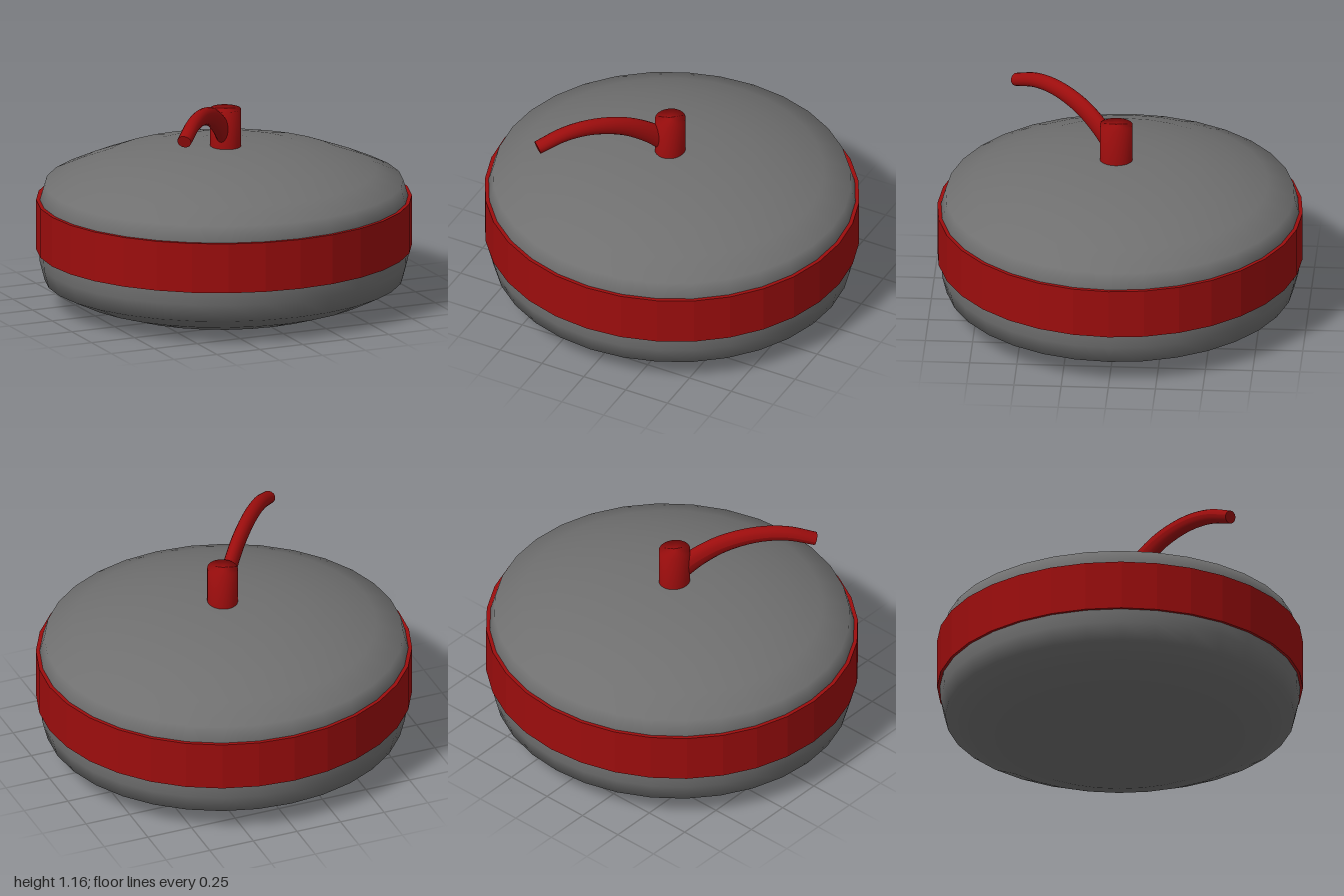
import * as THREE from 'three';

const DEPTH = 0.968; // the stone is slightly shallower than wide

export function createModel() {
  const group = new THREE.Group();
  const grey = new THREE.MeshStandardMaterial({ color: 0x707070 });
  const red = new THREE.MeshStandardMaterial({ color: 0x9c0d0d });
  const redFlat = new THREE.MeshStandardMaterial({ color: 0x9c0d0d, flatShading: true });

  const add = (name, geometry, material, parent = group) => {
    const mesh = new THREE.Mesh(geometry, material);
    mesh.name = name;
    parent.add(mesh);
    return mesh;
  };
  // Profiles run from bottom to top as [radius, height]
  const lathe = (points, sides) =>
    new THREE.LatheGeometry(points.map(([r, y]) => new THREE.Vector2(r, y)), sides);

  // Rounded stone body
  add('stoneBody', lathe([
    [0, 0], [0.42, 0], [0.64, 0.005], [0.81, 0.06], [0.955, 0.13], [0.98, 0.225],
    [0.985, 0.3], [0.98, 0.565], [0.955, 0.65], [0.81, 0.715], [0.64, 0.78],
    [0.44, 0.823], [0.22, 0.853], [0, 0.855],
  ], 32), grey).scale.z = DEPTH;

  // Faceted band around the middle
  add('middleBand', lathe([
    [0.95, 0.297], [1, 0.297], [1, 0.566], [0.95, 0.566], [0.95, 0.297],
  ], 32), redFlat).scale.z = DEPTH;

  // Upright post
  const post = add('handlePost', lathe([[0.08, 0.82], [0.08, 1.058], [0, 1.058]], 32), red);
  post.scale.z = 1.09;
  post.position.z = 0.02;

  // Curved grip, laid out along local x and turned towards the front right
  const grip = new THREE.Group();
  grip.name = 'handleGrip';
  grip.position.z = 0.02;
  grip.rotation.y = Math.atan2(-0.748, -0.664);
  group.add(grip);

  const curve = new THREE.CatmullRomCurve3([
    [0.03, 0.925], [0.12, 0.998], [0.26, 1.075], [0.44, 1.117], [0.6, 1.11], [0.75, 1.062],
  ].map(([x, y]) => new THREE.Vector3(x, y, 0)));
  const steps = 24, sides = 16, halfWidth = 0.038;
  const tallness = (t) => THREE.MathUtils.lerp(1.6, 0.9, t);

  // Stretch each ring within the curve's plane so the grip tapers in height only
  const tube = new THREE.TubeGeometry(curve, steps, halfWidth, sides);
  const pos = tube.attributes.position;
  for (let i = 0; i < pos.count; i++) {
    const t = Math.floor(i / (sides + 1)) / steps;
    const c = curve.getPointAt(t), k = tallness(t);
    pos.setXY(i, c.x + (pos.getX(i) - c.x) * k, c.y + (pos.getY(i) - c.y) * k);
  }
  tube.computeVertexNormals();
  add('gripBar', tube, red, grip);

  // Flat end of the grip
  const cap = new THREE.CircleGeometry(halfWidth, sides);
  const tangent = curve.getTangentAt(1);
  cap.scale(1, tallness(1), 1).rotateY(Math.PI / 2).rotateZ(Math.atan2(tangent.y, tangent.x));
  add('gripEnd', cap, red, grip).position.copy(curve.getPointAt(1));

  return group;
}
